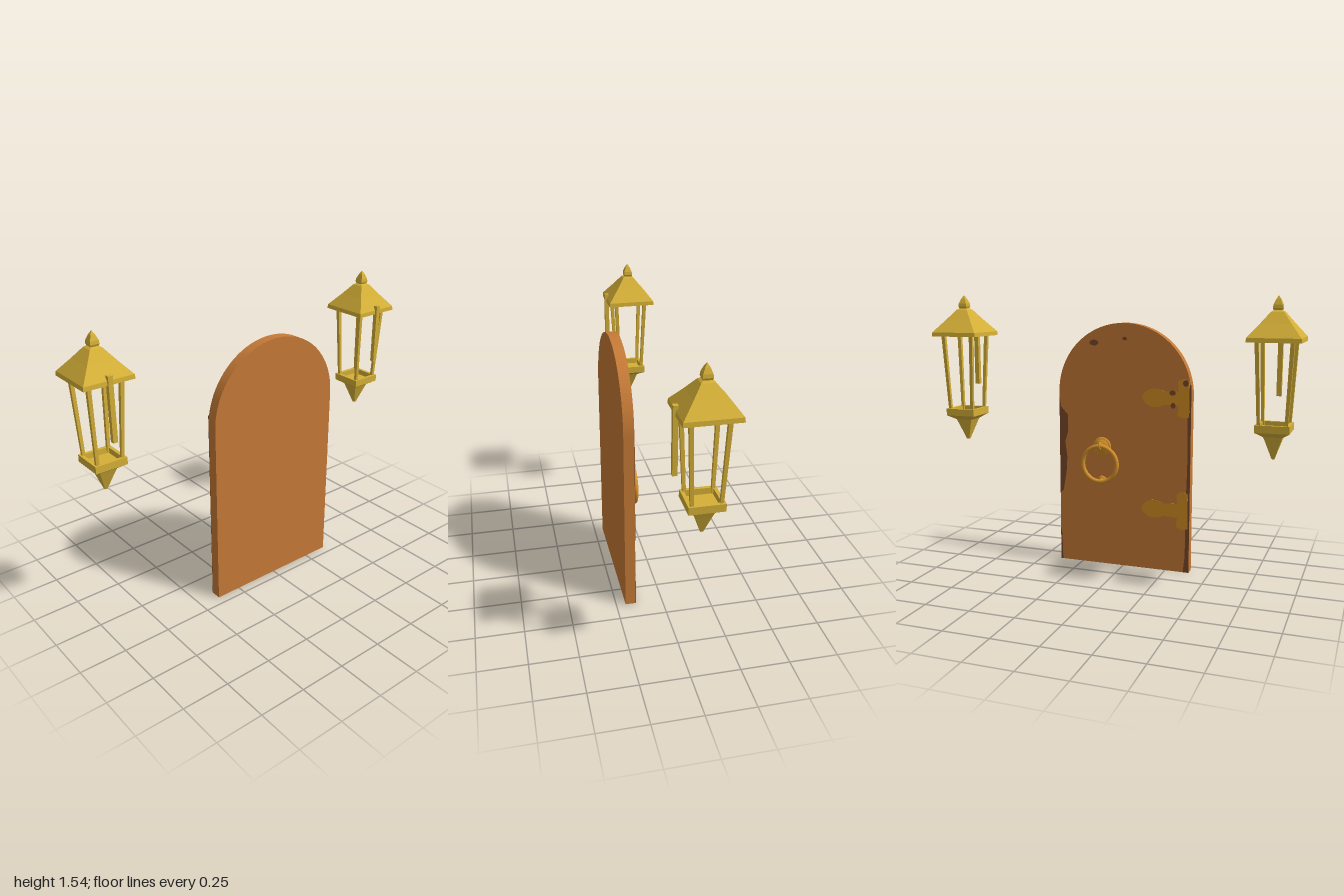
import * as THREE from 'three';

const mat = (name, color) => {
  const m = new THREE.MeshStandardMaterial({ color });
  m.name = name;
  return m;
};

export function createModel() {
  const gold = mat('lanternGold', 0xd4af37);
  const wood = mat('doorWood', 0xc57a36);
  const dark = mat('darkWood', 0x774829);
  const brass = mat('knockerBrass', 0xd6922a);
  const hingeMat = mat('hingeBrass', 0xd48e22);

  const root = new THREE.Group();
  root.name = 'doorWithLanterns';
  const add = (parent, name, geo, material, x = 0, y = 0, z = 0) => {
    const m = new THREE.Mesh(geo, material);
    m.name = name;
    m.position.set(x, y, z);
    parent.add(m);
    return m;
  };
  const group = (name, x = 0, y = 0, z = 0) => {
    const g = new THREE.Group();
    g.name = name;
    g.position.set(x, y, z);
    root.add(g);
    return g;
  };
  const vectors = (pts) => pts.map((p) => new THREE.Vector2(p[0], p[1]));

  // Four-sided, flat-faced turned profile; widths are half sides
  const squareLathe = (pts) => {
    const p = pts.map(([h, y]) => new THREE.Vector2(h * Math.SQRT2, y));
    const g = new THREE.LatheGeometry(p, 4, Math.PI / 4).toNonIndexed();
    g.computeVertexNormals();
    return g;
  };

  // Arched door slab
  const arch = new THREE.Shape();
  arch.moveTo(-0.388, 0);
  arch.lineTo(0.388, 0);
  arch.lineTo(0.388, 1.002);
  arch.absarc(0, 1.002, 0.388, 0, Math.PI, false);
  arch.closePath();
  const slab = new THREE.ExtrudeGeometry(arch, { depth: 0.055, bevelEnabled: false, curveSegments: 48 });
  add(root, 'door', slab, wood, 0, 0, 0.145);

  // Thin plates set on the back face of the door
  const plate = (parent, name, shape, material, out = 0.0015) => {
    const g = new THREE.ExtrudeGeometry(shape, { depth: out + 0.001, bevelEnabled: false, curveSegments: 10 });
    add(parent, name, g, material, 0, 0, 0.145 - out);
  };

  // Dark weathered edges and spots
  const stains = group('darkEdges');
  plate(stains, 'wornEdge', new THREE.Shape(vectors([
    [0.388, 0.40], [0.388, 0.97], [0.378, 0.91], [0.336, 0.865], [0.336, 0.77],
    [0.355, 0.71], [0.343, 0.62], [0.348, 0.54], [0.368, 0.42],
  ])), dark);
  plate(stains, 'lowerWornEdge', new THREE.Shape(vectors([
    [0.376, 0], [0.388, 0], [0.388, 0.19], [0.381, 0.16],
  ])), dark);
  plate(stains, 'hingeEdge', new THREE.Shape(vectors([
    [-0.388, 0], [-0.355, 0], [-0.366, 0.1], [-0.363, 0.3], [-0.372, 0.6],
    [-0.368, 0.9], [-0.38, 1.06], [-0.388, 1.06],
  ])), dark);
  for (const [x, y, rx, ry] of [
    [0.175, 1.28, 0.026, 0.016], [-0.007, 1.305, 0.013, 0.01],
    [-0.283, 1.015, 0.018, 0.014], [-0.287, 0.945, 0.014, 0.016], [-0.357, 1.07, 0.016, 0.018],
  ]) {
    const s = new THREE.Shape();
    s.absellipse(x, y, rx, ry, 0, Math.PI * 2, false, 0);
    plate(stains, 'darkSpot', s, dark, 0.003);
  }

  // Strap hinges
  for (const [name, y] of [['upperHinge', 0.985], ['lowerHinge', 0.355]]) {
    const s = new THREE.Shape();
    s.moveTo(-0.378, y - 0.1);
    s.lineTo(-0.378, y + 0.1);
    s.quadraticCurveTo(-0.34, y + 0.12, -0.312, y + 0.09);
    s.lineTo(-0.318, y + 0.04);
    s.lineTo(-0.24, y + 0.036);
    s.quadraticCurveTo(-0.18, y + 0.065, -0.14, y + 0.04);
    s.quadraticCurveTo(-0.08, y, -0.14, y - 0.04);
    s.quadraticCurveTo(-0.18, y - 0.065, -0.24, y - 0.036);
    s.lineTo(-0.318, y - 0.04);
    s.lineTo(-0.312, y - 0.09);
    s.quadraticCurveTo(-0.34, y - 0.12, -0.378, y - 0.1);
    plate(root, name, s, hingeMat, 0.0022);
  }

  // Ring knocker: stepped rosette, holder, ring and strike stud
  const knocker = group('knocker', 0.128, 0, 0.146);
  const turned = (name, pts, y) => {
    const g = new THREE.LatheGeometry(vectors(pts), 28);
    g.rotateX(-Math.PI / 2);
    add(knocker, name, g, brass, 0, y, 0);
  };
  turned('rosette', [
    [0.054, 0], [0.054, 0.008], [0.048, 0.012], [0.04, 0.012], [0.038, 0.018],
    [0.03, 0.022], [0.022, 0.024], [0.018, 0.032], [0.01, 0.037], [0, 0.038],
  ], 0.693);
  turned('strikeStud', [
    [0.027, 0], [0.027, 0.007], [0.02, 0.01], [0.011, 0.012],
    [0.011, 0.022], [0.014, 0.028], [0.009, 0.034], [0, 0.036],
  ], 0.495);
  const holder = new THREE.TorusGeometry(0.018, 0.007, 10, 20);
  holder.rotateY(Math.PI / 2);
  add(knocker, 'ringHolder', holder, brass, 0, 0.7, -0.033);
  add(knocker, 'ring', new THREE.TorusGeometry(0.102, 0.012, 14, 48), brass, 0, 0.598, -0.04);

  // Lanterns
  const post = (sx, sz) => {
    const y0 = 0.885, y1 = 1.325;
    const g = new THREE.BoxGeometry(1, 1, 1);
    const p = g.attributes.position;
    for (let i = 0; i < p.count; i++) {
      const top = p.getY(i) > 0;
      const w = top ? 0.02 : 0.016, c = top ? 0.086 : 0.067;
      p.setXYZ(i, sx * c + p.getX(i) * w, top ? y1 : y0, sz * c + p.getZ(i) * w);
    }
    g.computeVertexNormals();
    return g;
  };
  for (const [name, x] of [['leftLantern', 0.867], ['rightLantern', -0.867]]) {
    const lantern = group(name, x, 0, -0.066);
    add(lantern, 'roof', squareLathe([
      [0, 1.316], [0.133, 1.316], [0.131, 1.338], [0.075, 1.405], [0.032, 1.46], [0.02, 1.468], [0, 1.468],
    ]), gold);
    add(lantern, 'finial', squareLathe([
      [0.018, 1.463], [0.024, 1.478], [0.022, 1.495], [0.012, 1.52], [0, 1.54],
    ]), gold);
    add(lantern, 'base', squareLathe([
      [0, 0.728], [0.007, 0.73], [0.022, 0.775], [0.038, 0.822], [0.047, 0.847], [0.086, 0.872],
      [0.086, 0.91], [0.068, 0.91], [0.068, 0.88], [0, 0.88],
    ]), gold);
    for (const sx of [-1, 1]) for (const sz of [-1, 1]) add(lantern, 'post', post(sx, sz), gold);
    add(lantern, 'mountingBar', new THREE.BoxGeometry(0.025, 0.33, 0.024), gold, 0, 1.198, 0.131);
  }

  return root;
}
